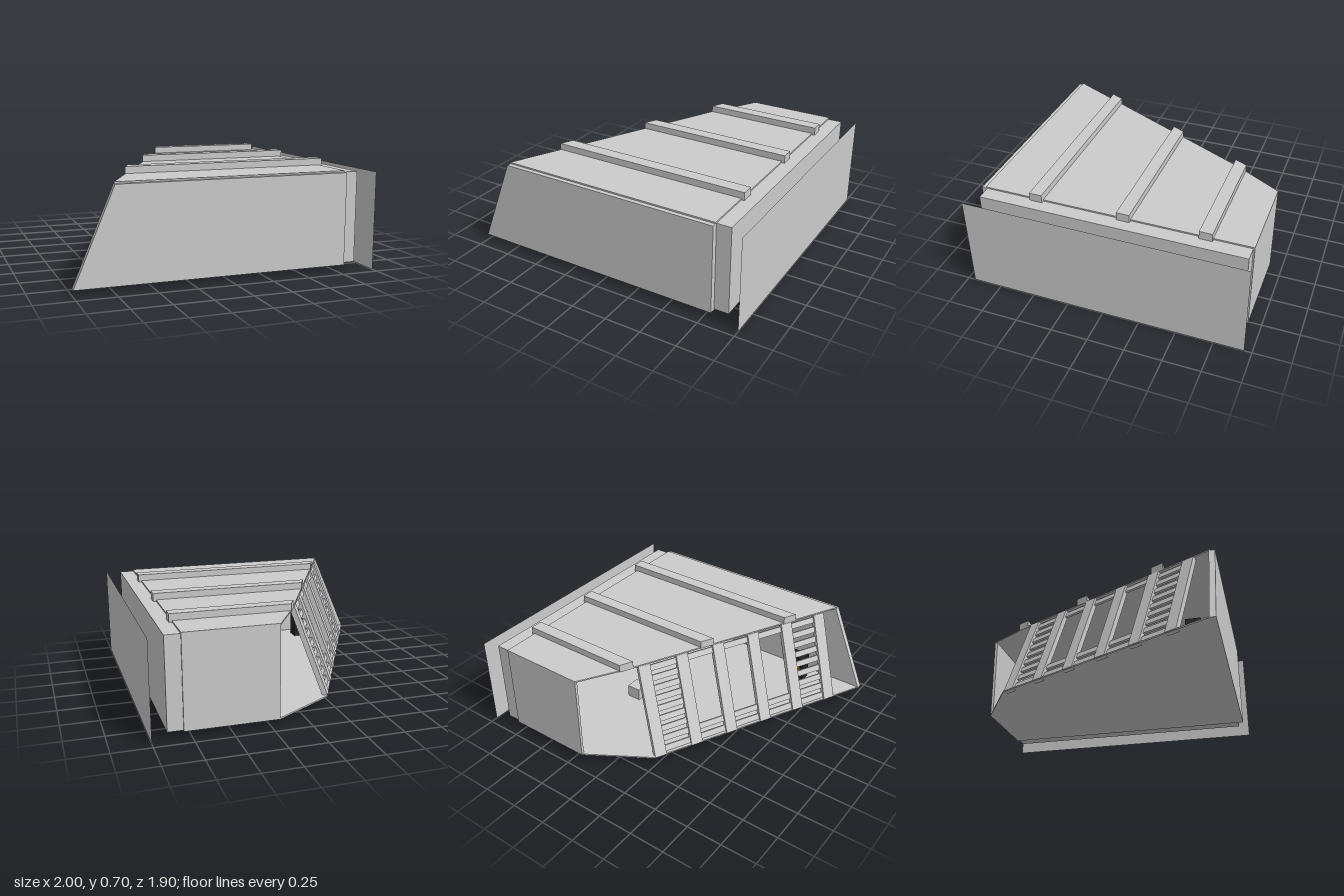
import * as THREE from 'three';

const grey = new THREE.MeshStandardMaterial({ color: 0xcccccc, side: THREE.DoubleSide });
const dark = new THREE.MeshStandardMaterial({ color: 0x222222 });
const amber = new THREE.MeshStandardMaterial({ color: 0xc08a20 });

export function createModel() {
  const model = new THREE.Group();

  const add = (name, geometry, parent = model, material = grey) => {
    const mesh = new THREE.Mesh(geometry, material);
    mesh.name = name;
    parent.add(mesh);
    return mesh;
  };
  const box = (name, w, h, d, x, y, z, parent, material) => {
    const mesh = add(name, new THREE.BoxGeometry(w, h, d), parent, material);
    mesh.position.set(x, y, z);
    return mesh;
  };
  const extrude = (points, depth) => new THREE.ExtrudeGeometry(
    new THREE.Shape(points.map(([x, y]) => new THREE.Vector2(x, y))),
    { depth, bevelEnabled: false });
  // horizontal slab from a plan outline of [x, z] pairs
  const slab = (name, plan, y0, y1) => {
    const geometry = extrude(plan.map(([x, z]) => [x, -z]), y1 - y0);
    geometry.rotateX(-Math.PI / 2);
    geometry.translate(0, y0, 0);
    return add(name, geometry);
  };

  // floor and roof share a slanted left side; the roof is set back
  slab('floor', [[-1, 0.89], [0.8, 0.89], [0.8, -0.92], [0.19, -0.92], [-0.23, -0.66]], 0.04, 0.05);
  slab('roof', [[-0.74, 0.89], [0.8, 0.89], [0.8, -0.92], [0.19, -0.92], [0, -0.6]], 0.65, 0.66);

  // front wall with a raked left end
  const front = add('frontWall', extrude([[-1, 0.04], [0.8, 0.04], [0.8, 0.65], [-0.74, 0.65]], 0.04));
  front.position.z = 0.88;

  box('backWall', 0.61, 0.6, 0.02, 0.495, 0.35, -0.91);
  box('rightWall', 0.1, 0.605, 1.79, 0.85, 0.3475, -0.015);

  // thin outer panel standing clear of the right wall
  const panel = add('outerPanel', new THREE.PlaneGeometry(1.9, 0.65));
  panel.rotation.y = Math.PI / 2;
  panel.position.set(1, 0.325, 0);

  // roof beams, cut to follow the slanted roof edge
  const roofEdge = (z) => -0.3 - z / 2;
  for (const z of [0.515, -0.085, -0.62]) {
    const a = z + 0.043, b = z - 0.043;
    slab('roofBeam', [[roofEdge(a), a], [0.82, a], [0.82, b], [roofEdge(b), b]], 0.65, 0.705);
  }

  // leaning window: local x runs along the sill, y up the slope, z inward
  const windowFrame = new THREE.Group();
  windowFrame.name = 'leaningWindow';
  const along = new THREE.Vector3(1, 0, -2).normalize();
  const up = new THREE.Vector3(0.208, 0.61, 0.104).normalize();
  const inward = along.clone().cross(up);
  windowFrame.quaternion.setFromRotationMatrix(new THREE.Matrix4().makeBasis(along, up, inward));
  windowFrame.position.set(-1, 0.045, 0.88);
  model.add(windowFrame);

  const length = 0.65, pitch = 0.279, first = 0.274;
  for (let i = 0; i < 6; i++) {
    box('windowPost', 0.085, length, 0.035, first + i * pitch, length / 2, 0.015, windowFrame);
  }
  // end bays are fully slatted, middle bays only at sill and head
  const slats = 9;
  for (let bay = 0; bay < 5; bay++) {
    for (let j = 0; j < slats; j++) {
      const open = bay > 0 && bay < 4 && j > 1 && j < slats - 1;
      if (open) continue;
      box('windowSlat', pitch - 0.08, 0.042, 0.015,
        first + (bay + 0.5) * pitch, (j + 0.5) * length / slats, 0.02, windowFrame);
    }
  }

  // small fittings inside
  box('floorBlock', 0.1, 0.09, 0.1, 0.3, 0.095, -0.17);
  box('lowCrate', 0.16, 0.08, 0.16, 0.4, 0.09, 0.55);
  box('console', 0.12, 0.2, 0.1, -0.55, 0.15, 0.74, model, dark);
  box('consolePanel', 0.08, 0.08, 0.02, -0.55, 0.13, 0.685, model, amber);

  return model;
}
